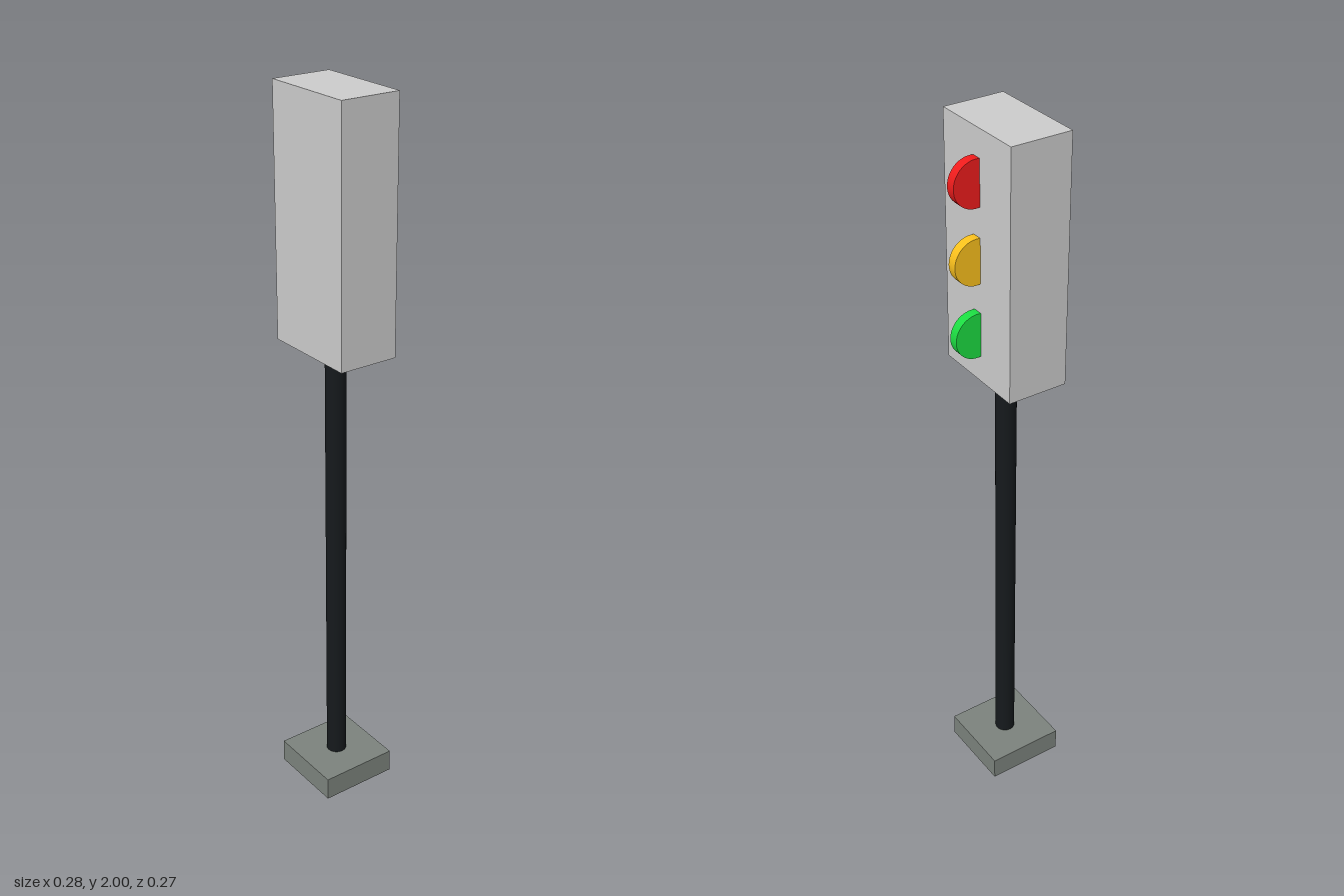
import * as THREE from 'three';

export function createModel() {
  const root = new THREE.Group();
  root.name = 'trafficLight';

  const add = (name, geometry, color, x, y, z) => {
    const mesh = new THREE.Mesh(geometry, new THREE.MeshStandardMaterial({ color }));
    mesh.name = name;
    mesh.position.set(x, y, z);
    root.add(mesh);
    return mesh;
  };

  const axisZ = 0.021; // shared centre line of base, pole and housing

  // Square foot
  add('base', new THREE.BoxGeometry(0.223, 0.067, 0.223), 0x7b827c, 0, 0.0335, axisZ);

  // Round pole, sunk into the foot and the housing
  add('pole', new THREE.CylinderGeometry(0.028, 0.028, 1.33, 32), 0x15191c, 0, 0.69, axisZ);

  // Signal box
  add('housing', new THREE.BoxGeometry(0.28, 0.67, 0.168), 0xcccccc, 0, 1.665, axisZ);

  // Upright disc lamps, partly sunk into the back face
  const lamps = [
    ['redLamp', 0xee1c1c, 1.867],
    ['yellowLamp', 0xfac01c, 1.666],
    ['greenLamp', 0x1cdc42, 1.464],
  ];
  const disc = new THREE.CylinderGeometry(0.0615, 0.0615, 0.027, 48).rotateZ(Math.PI / 2);
  for (const [name, color, y] of lamps) add(name, disc, color, 0, y, -0.0735);

  return root;
}
